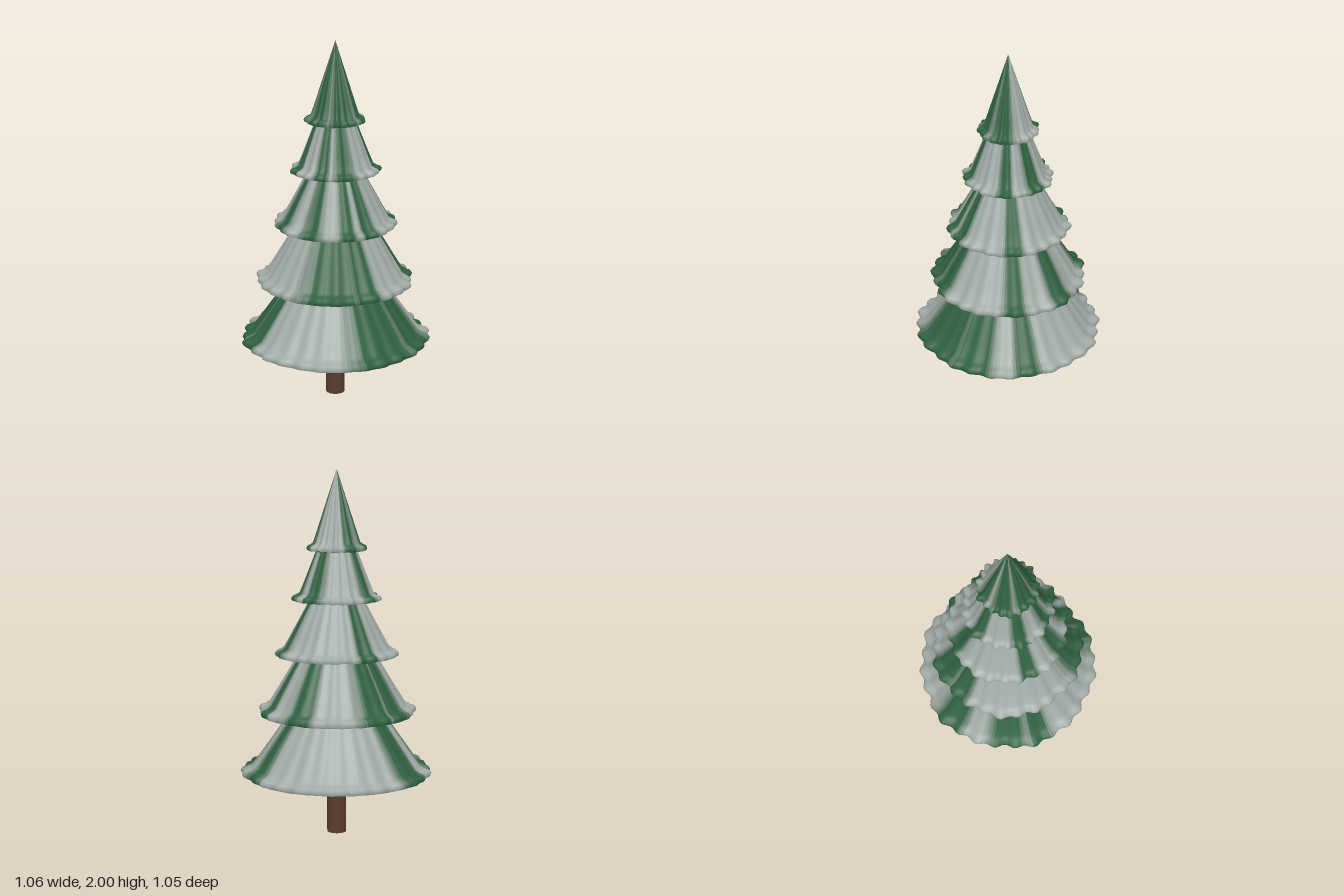
import * as THREE from 'three';

const COLS = 168;
const SHADES = 6;
const GREEN = new THREE.Color(0x2f6040);
const FROST = new THREE.Color(0xa0aaa5);

// rim radius, rim height, lip radius, lip height, apex height, scallops,
// green streaks as [compass degrees from +x towards +z, half width]
const TIERS = [
  { R: 0.515, y: 0.35, r: 0.455, ly: 0.39, top: 1.04, bumps: 28,
    green: [[62, 24], [30, 14], [165, 8], [188, 13], [232, 12], [352, 8]] },
  { R: 0.422, y: 0.685, r: 0.37, ly: 0.725, top: 1.35, bumps: 26,
    green: [[100, 24], [72, 10], [232, 10], [255, 14], [0, 9], [318, 10]] },
  { R: 0.328, y: 1.005, r: 0.285, ly: 1.04, top: 1.57, bumps: 24,
    green: [[165, 9], [122, 10], [85, 8], [62, 8], [256, 10], [0, 9]] },
  { R: 0.237, y: 1.305, r: 0.198, ly: 1.335, top: 1.85, bumps: 22,
    green: [[85, 13], [118, 10], [170, 12], [325, 13], [235, 11], [10, 10]] },
  { R: 0.156, y: 1.575, r: 0.125, ly: 1.605, top: 2.0, bumps: 20,
    green: [[80, 32], [140, 28], [200, 24], [255, 16], [20, 26]] },
];

// Scalloped ring offset: fine frill plus broad irregular folds
function ripple(a, tier, seed) {
  return 0.011 * Math.sin(tier.bumps * a + seed * 1.7)
    + 0.007 * Math.sin(11 * a + seed * 2.3)
    + 0.006 * Math.sin(5 * a + seed * 4.1);
}

// Closed rings of points, rippled by each ring's weight; no seam
function ringGeometry(rings, tier, seed) {
  const pos = [], index = [];
  for (const [r, y, weight] of rings) {
    for (let i = 0; i < COLS; i++) {
      const a = (i / COLS) * Math.PI * 2;
      const wave = ripple(a, tier, seed) * weight * (0.55 + tier.R * 0.8);
      const rr = Math.max(0, r + wave);
      pos.push(rr * Math.cos(a), y + wave * 0.35, rr * Math.sin(a));
    }
  }
  // column by column, so that a column can be cut out by its index range
  for (let i = 0; i < COLS; i++) {
    const n = (i + 1) % COLS;
    for (let j = 0; j < rings.length - 1; j++) {
      const a = j * COLS + i, b = j * COLS + n;
      index.push(a, a + COLS, b, b, a + COLS, b + COLS);
    }
  }
  const g = new THREE.BufferGeometry();
  g.setAttribute('position', new THREE.Float32BufferAttribute(pos, 3));
  g.setIndex(index);
  g.computeVertexNormals();
  return g;
}

// 0 = green, 1 = frosted
function frostAt(deg, streaks) {
  let green = 0;
  for (const [centre, half] of streaks) {
    const d = Math.abs(((deg - centre + 540) % 360) - 180);
    green = Math.max(green, 1 - THREE.MathUtils.smoothstep(d, half * 0.5, half * 1.6));
  }
  return 1 - green;
}

// Splits a skirt into streaks of colour that share the smooth normals
function streakedSkirt(geometry, tier, rows, materials) {
  const group = new THREE.Group();
  const all = geometry.index.array;
  const parts = materials.map(() => []);
  const per = rows * 6;
  for (let i = 0; i < COLS; i++) {
    const f = frostAt(((i + 0.5) / COLS) * 360, tier.green);
    parts[Math.round(f * (SHADES - 1))].push(...all.slice(i * per, (i + 1) * per));
  }
  parts.forEach((idx, k) => {
    if (!idx.length) return;
    const g = new THREE.BufferGeometry();
    g.setAttribute('position', geometry.attributes.position);
    g.setAttribute('normal', geometry.attributes.normal);
    g.setIndex(idx);
    const mesh = new THREE.Mesh(g, materials[k]);
    mesh.name = 'needleStreak' + k;
    group.add(mesh);
  });
  return group;
}

export function createModel() {
  const tree = new THREE.Group();
  tree.name = 'frostedFirTree';
  const materials = Array.from({ length: SHADES }, (_, k) =>
    new THREE.MeshStandardMaterial({ color: GREEN.clone().lerp(FROST, k / (SHADES - 1)) }));

  // Trunk
  const trunk = new THREE.Mesh(
    new THREE.CylinderGeometry(0.053, 0.053, 0.4, 24),
    new THREE.MeshStandardMaterial({ color: 0x5a3c2c }));
  trunk.position.y = 0.2;
  trunk.name = 'trunk';
  tree.add(trunk);

  // Five flared branch tiers
  TIERS.forEach((t, s) => {
    const flare = t.R - t.r;
    const rise = t.ly - t.y;
    const rings = [
      [t.R - flare * 0.1, t.y - rise * 0.35, 1],
      [t.R, t.y, 1],
      [t.R - flare * 0.15, t.y + rise * 0.4, 0.9],
      [t.R - flare * 0.6, t.y + rise * 0.65, 0.7],
      [t.r, t.ly, 0.5],
    ];
    // straight cone up to the apex
    for (const k of [0.12, 0.3, 0.55, 0.8, 1]) {
      rings.push([t.r * (1 - k), THREE.MathUtils.lerp(t.ly, t.top, k), 0.4 * (1 - k)]);
    }
    const tier = new THREE.Group();
    tier.name = 'branchTier' + (s + 1);
    const skirt = streakedSkirt(ringGeometry(rings, t, s), t, rings.length - 1, materials);
    skirt.name = 'skirt';

    // Shallow closed underside
    const under = [
      [0, t.y - rise * 0.6, 0],
      [t.R * 0.6, t.y - rise * 0.55, 0.2],
      rings[0],
    ];
    const underside = new THREE.Mesh(ringGeometry(under, t, s), materials[0]);
    underside.name = 'underside';
    tier.add(skirt, underside);
    tree.add(tier);
  });

  tree.position.set(-0.006, 0, -0.003);
  const model = new THREE.Group();
  model.add(tree);
  return model;
}
